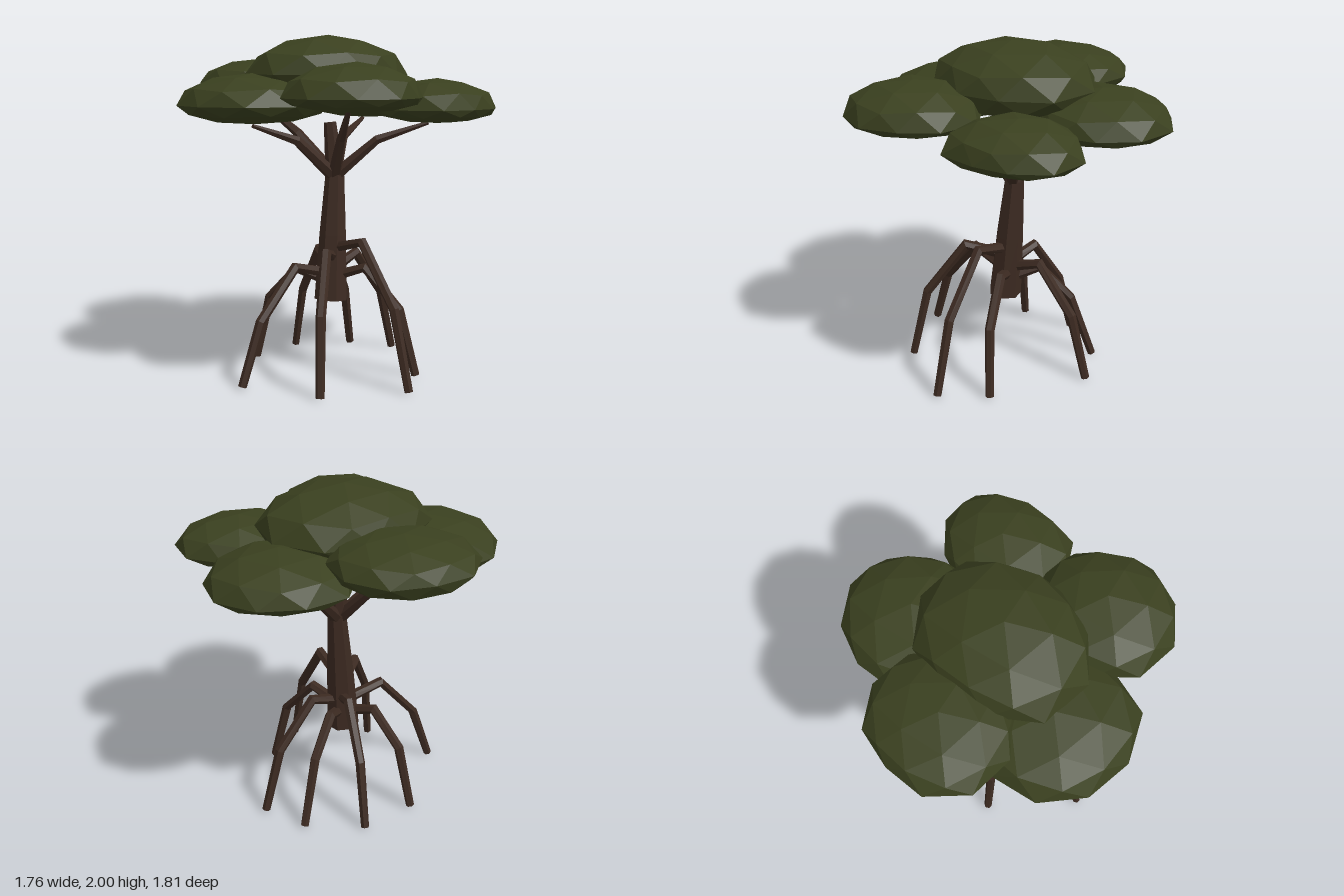
import * as THREE from 'three';

const bark = new THREE.MeshStandardMaterial({ color: 0x3c2a21, flatShading: true });
bark.name = 'bark';
const foliage = new THREE.MeshStandardMaterial({ color: 0x3a401f, flatShading: true });
foliage.name = 'foliage';

const V = (p) => new THREE.Vector3(...p);

// Tapered faceted limb swept through points, with capped ends
function limb(name, path, radii, sides) {
  const pts = path.map(V);
  const last = pts.length - 1;
  const heading = pts[last].clone().sub(pts[0]).setY(0);
  const side = new THREE.Vector3(0, 1, 0).cross(heading).normalize();
  const pos = [], index = [];
  pts.forEach((p, i) => {
    const before = p.clone().sub(pts[Math.max(i - 1, 0)]).normalize();
    const after = pts[Math.min(i + 1, last)].clone().sub(p).normalize();
    const t = before.add(after).normalize();
    const u = side.clone().addScaledVector(t, -side.dot(t)).normalize();
    const v = t.clone().cross(u);
    for (let k = 0; k < sides; k++) {
      const a = (k / sides) * Math.PI * 2;
      const q = p.clone().addScaledVector(u, Math.cos(a) * radii[i]).addScaledVector(v, Math.sin(a) * radii[i]);
      pos.push(q.x, q.y, q.z);
    }
  });
  for (let i = 0; i < last; i++) {
    for (let k = 0; k < sides; k++) {
      const a = i * sides + k, b = i * sides + ((k + 1) % sides);
      index.push(a, b, b + sides, a, b + sides, a + sides);
    }
  }
  const end = last * sides;
  for (let k = 1; k < sides - 1; k++) index.push(0, k + 1, k, end, end + k, end + k + 1);
  const geo = new THREE.BufferGeometry();
  geo.setAttribute('position', new THREE.Float32BufferAttribute(pos, 3));
  geo.setIndex(index);
  geo.computeVertexNormals();
  const mesh = new THREE.Mesh(geo, bark);
  mesh.name = name;
  return mesh;
}

// Faceted leaf mass: an upright icosphere whose ten-sided rim follows the
// given radii (every 36 degrees from 18), with separate heights above and below the rim
function leafMass(name, [cx, cz], [bottom, rim, top], radii) {
  const geo = new THREE.IcosahedronGeometry(1, 1);
  geo.rotateZ(-Math.atan(2 / (1 + Math.sqrt(5))));
  const p = geo.attributes.position;
  for (let i = 0; i < p.count; i++) {
    const x = p.getX(i), y = p.getY(i), z = p.getZ(i);
    const s = (Math.atan2(z, x) / (Math.PI * 2)) * 10 - 0.5 + 20;
    const k = Math.floor(s);
    const r = THREE.MathUtils.lerp(radii[k % 10], radii[(k + 1) % 10], s - k);
    p.setXYZ(i, cx + x * r, rim + y * (y > 0 ? top - rim : rim - bottom), cz + z * r);
  }
  geo.computeVertexNormals();
  const mesh = new THREE.Mesh(geo, foliage);
  mesh.name = name;
  return mesh;
}

export function createModel() {
  const tree = new THREE.Group();
  tree.name = 'stiltRootTree';

  // Leaning trunk
  tree.add(limb('trunk',
    [[-0.01, 0.43, 0.025], [0.015, 0.82, 0.01], [0.04, 1.18, -0.005], [0.025, 1.49, -0.035]],
    [0.1, 0.082, 0.058, 0.038], 7));

  // Arching stilt roots: apex, knee, foot
  const roots = new THREE.Group();
  roots.name = 'roots';
  [
    [[0.03, 0.81, 0.28], [0.06, 0.46, 0.54], [0.075, 0.01, 0.66]],
    [[-0.17, 0.755, 0.2], [-0.33, 0.44, 0.38], [-0.39, 0.01, 0.46]],
    [[-0.27, 0.655, 0.03], [-0.52, 0.37, 0.05], [-0.645, 0.01, 0.05]],
    [[-0.13, 0.6, -0.17], [-0.22, 0.4, -0.34], [-0.27, 0.01, -0.42]],
    [[0.04, 0.7, -0.18], [0.06, 0.4, -0.39], [0.075, 0.01, -0.5]],
    [[0.14, 0.6, -0.13], [0.29, 0.4, -0.25], [0.4, 0.01, -0.34]],
    [[0.22, 0.68, -0.04], [0.45, 0.4, -0.08], [0.56, 0.01, -0.1]],
    [[0.12, 0.635, 0.19], [0.23, 0.4, 0.38], [0.3, 0.01, 0.45]],
  ].forEach(([apex, knee, foot], i) => {
    const start = [0.01, apex[1] - 0.07, 0.015];
    roots.add(limb('root' + (i + 1), [start, apex, knee, foot], [0.035, 0.032, 0.029, 0.025], 6));
  });
  tree.add(roots);

  // Forking branches: elbow, tip
  const branches = new THREE.Group();
  branches.name = 'branches';
  [
    [[-0.22, 1.39, -0.02], [-0.51, 1.485, -0.03]],
    [[0.22, 1.39, -0.17], [0.49, 1.49, -0.33]],
    [[0.22, 1.39, 0.17], [0.46, 1.49, 0.35]],
    [[-0.09, 1.42, -0.21], [-0.2, 1.6, -0.44]],
    [[-0.02, 1.4, 0.14], [-0.09, 1.6, 0.32]],
  ].forEach(([elbow, tip], i) => {
    branches.add(limb('branch' + (i + 1), [[0.03, 1.17, 0], elbow, tip], [0.042, 0.029, 0.012], 6));
  });
  tree.add(branches);

  // Canopy
  const canopy = new THREE.Group();
  canopy.name = 'canopy';
  canopy.add(
    leafMass('crown', [0, -0.02], [1.58, 1.77, 2],
      [0.5, 0.42, 0.41, 0.44, 0.5, 0.5, 0.43, 0.405, 0.48, 0.51]),
    leafMass('backLeaves', [-0.1, -0.55], [1.57, 1.72, 1.87],
      [0.41, 0.38, 0.35, 0.38, 0.41, 0.42, 0.4, 0.36, 0.4, 0.41]),
    leafMass('rightLeaves', [-0.46, -0.1], [1.49, 1.6, 1.78],
      [0.43, 0.43, 0.44, 0.48, 0.45, 0.44, 0.44, 0.43, 0.45, 0.43]),
    leafMass('backLeftLeaves', [0.48, -0.25], [1.5, 1.59, 1.78],
      [0.4, 0.38, 0.39, 0.42, 0.42, 0.42, 0.43, 0.395, 0.4, 0.415]),
    leafMass('frontLeftLeaves', [0.48, 0.4], [1.49, 1.575, 1.75],
      [0.38, 0.33, 0.32, 0.4, 0.4, 0.38, 0.37, 0.32, 0.33, 0.375]),
    leafMass('frontRightLeaves', [-0.2, 0.53], [1.57, 1.65, 1.84],
      [0.38, 0.34, 0.37, 0.385, 0.42, 0.42, 0.39, 0.36, 0.38, 0.4]),
  );
  tree.add(canopy);
  return tree;
}
